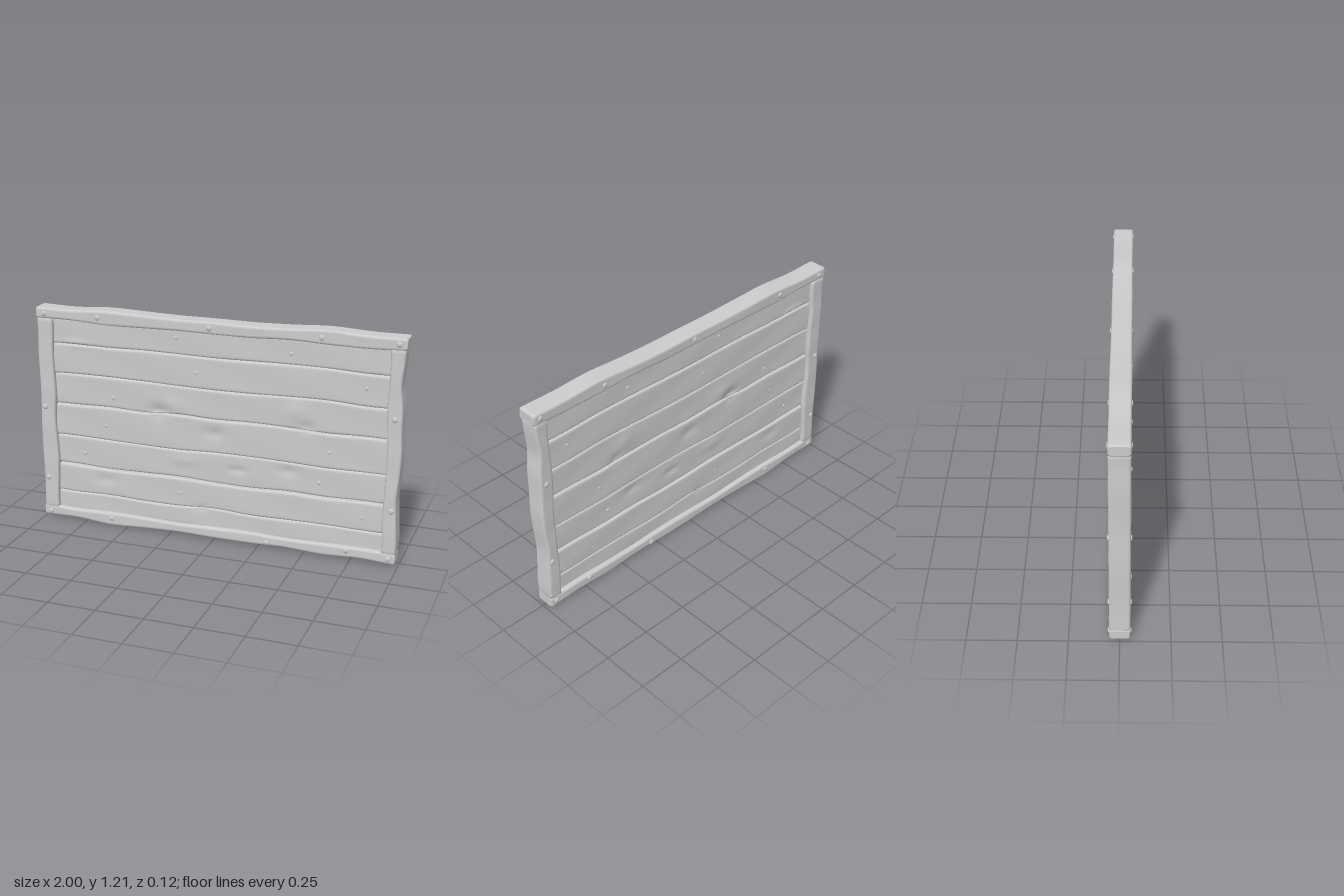
import * as THREE from 'three';

// Smooth curve through evenly spaced offsets (thousandths) around a base value
function wavy(base, offsets, from, to) {
  const curve = new THREE.SplineCurve(offsets.map((o, i) => new THREE.Vector2(i, o / 1000)));
  return t => base + curve.getPoint(THREE.MathUtils.clamp((t - from) / (to - from), 0, 1)).y;
}

// Hollows and swellings in the boards: x, y, radius x, radius y, height
const dents = [
  [-0.31, 0.69, 0.05, 0.035, -0.012], [-0.24, 0.73, 0.06, 0.04, 0.004],
  [0.44, 0.77, 0.05, 0.05, 0.006], [0.5, 0.69, 0.04, 0.03, -0.008],
  [0, 0.6, 0.05, 0.03, -0.008], [0.13, 0.41, 0.05, 0.02, -0.007],
  [-0.17, 0.43, 0.08, 0.03, 0.005], [-0.63, 0.26, 0.06, 0.03, -0.006],
  [0.4, 0.44, 0.05, 0.025, -0.006], [-0.78, 1.02, 0.08, 0.02, 0.005],
  [-0.07, 0.17, 0.03, 0.02, -0.006],
];
function relief(x, y) {
  let z = 0.0008 * Math.sin(9 * x + 31 * y);
  for (const [cx, cy, rx, ry, h] of dents) {
    z += h * Math.exp(-(((x - cx) / rx) ** 2) - ((y - cy) / ry) ** 2);
  }
  return z;
}

// Rounded timber running along x (or y when upright) between two wavy edges
function timber({ from, to, low, high, half, round, upright = false, steps = 100, faceSteps = 10 }) {
  const positions = [], index = [], rings = [];
  const end = 0.006;
  const spots = [from];
  for (let i = 0; i <= steps; i++) spots.push(from + end + (to - from - 2 * end) * i / steps);
  spots.push(to);

  const tri = (a, b, c) => upright ? index.push(a, c, b) : index.push(a, b, c);
  spots.forEach((t, i) => {
    const inset = i === 0 || i === spots.length - 1 ? end : 0;
    const lo = low(t) + inset, hi = high(t) - inset, w = hi - lo;
    const side = [0, 0.15, 0.5, 1].map(d => d * round);
    const across = [...side];
    for (let k = 1; k < faceSteps; k++) across.push(round + (w - 2 * round) * k / faceSteps);
    across.push(...side.map(d => w - d).reverse());
    const front = across.map(u => {
      const d = Math.min(u, w - u, round);
      const x = upright ? lo + u : t, y = upright ? t : lo + u;
      const z = half - inset - round + Math.sqrt(Math.max(0, round ** 2 - (round - d) ** 2));
      return [x, y, z + relief(x, y) * Math.min(1, d / round)];
    });
    rings.push([...front, ...front.map(([x, y, z]) => [x, y, -z]).reverse()]);
  });

  const n = rings[0].length;
  rings.forEach(ring => ring.forEach(p => positions.push(...p)));
  for (let i = 0; i < rings.length - 1; i++) {
    for (let j = 0; j < n; j++) {
      const a = i * n + j, d = i * n + (j + 1) % n;
      tri(a, a + n, d + n);
      tri(a, d + n, d);
    }
  }
  // End grain
  for (const [ring, last] of [[rings[0], false], [rings[rings.length - 1], true]]) {
    const c = positions.length / 3;
    const mid = ring.reduce((s, p) => [s[0] + p[0] / n, s[1] + p[1] / n, 0], [0, 0, 0]);
    positions.push(...mid);
    ring.forEach(p => positions.push(...p));
    for (let j = 0; j < n; j++) {
      const a = c + 1 + j, b = c + 1 + (j + 1) % n;
      if (last) tri(c, b, a); else tri(c, a, b);
    }
  }
  const geometry = new THREE.BufferGeometry();
  geometry.setAttribute('position', new THREE.Float32BufferAttribute(positions, 3));
  geometry.setIndex(index);
  geometry.computeVertexNormals();
  return geometry;
}

export function createModel() {
  const model = new THREE.Group();
  model.name = 'plankPanel';
  const wood = new THREE.MeshStandardMaterial({ color: 0xcccccc });
  wood.name = 'pale grey wood';
  const add = (name, geometry) => {
    const mesh = new THREE.Mesh(geometry, wood);
    mesh.name = name;
    model.add(mesh);
    return mesh;
  };

  // Rails across the top and bottom
  const rail = { from: -1, to: 0.995, half: 0.053, round: 0.012 };
  const alongX = (base, offsets) => wavy(base, offsets, -1, 1);
  add('topRail', timber({ ...rail,
    low: alongX(1.137, [5, 6, -4, -2, 1, -1, -1, 6, 0, -2, 3]),
    high: alongX(1.203, [0, -4, 7, 2, -3, -3, -5, 0, 9, 0, 0]) }));
  add('bottomRail', timber({ ...rail, to: 0.985,
    low: alongX(0.013, [2, 4, -11, -1, 5, 1, 1, 6, -3, 5, -4]),
    high: alongX(0.072, [4, -2, 3, 0, -4, 2, 3, -3, 1, 4, -2]) }));

  // Upright stiles between the rails
  const stile = { from: 0.062, to: 1.146, half: 0.052, round: 0.012, upright: true, steps: 60 };
  const alongY = (base, offsets) => wavy(base, offsets, 0, 1.2);
  add('rightStile', timber({ ...stile,
    low: alongY(-0.997, [-2, 1, 3, 0, -2, 0, 3, 1, -1, 2, -2]),
    high: alongY(-0.909, [0, -4, 2, 7, 1, -3, 4, 0, -3, 2, 0]) }));
  add('leftStile', timber({ ...stile,
    low: alongY(0.909, [0, 4, -2, 3, 6, 8, 2, -1, 4, 6, 0]),
    high: alongY(0.985, [-4, 2, -4, -9, 1, 7, 3, 2, -9, 1, 5]) }));

  // Seams between the boards, bottom to top: height, gap, waviness
  const seams = [
    [0.06, 0, [0, 0, 0]],
    [0.167, 0.001, [3, -2, 2, -4, -3, 8, -2, 1, 3, 0, 0]],
    [0.322, 0.007, [6, 5, -2, 2, 6, -1, -4, 4, 0, 5, 2]],
    [0.487, 0.001, [4, 6, 2, -2, -3, 5, 6, 2, -4, -2, 0]],
    [0.674, 0.004, [-4, -3, 2, -4, 6, 0, 5, 2, -5, 0, -3]],
    [0.84, 0.002, [-3, 4, 5, 2, -3, -6, -4, 2, 4, -6, -5]],
    [1.005, 0.001, [0, 3, 1, 5, 3, 0, 3, 6, 5, -3, -2]],
    [1.15, 0, [0, 0, 0]],
  ].map(([y, gap, offsets]) => ({ gap, edge: alongX(y, offsets) }));
  for (let i = 0; i < seams.length - 1; i++) {
    const below = seams[i], above = seams[i + 1];
    add('board' + (i + 1), timber({
      from: -0.93, to: 0.93, half: 0.028 + (i % 2) * 0.003, round: 0.011, faceSteps: 14,
      low: x => below.edge(x) + below.gap / 2,
      high: x => above.edge(x) - above.gap / 2,
    }));
  }

  // Nail heads on both faces: frame first, then smaller ones on the boards
  const nailHead = new THREE.SphereGeometry(1, 14, 10);
  const frameNails = [
    [-0.95, 1.17], [-0.64, 1.172], [-0.02, 1.168], [0.57, 1.172], [0.955, 1.172],
    [-0.96, 0.04], [-0.59, 0.045], [0.3, 0.035], [0.73, 0.055], [0.95, 0.04],
    [-0.968, 0.24], [-0.968, 0.65], [0.95, 0.79], [0.955, 0.305],
  ];
  const boardNails = [
    [-0.21, 1.095], [0.41, 1.07], [-0.57, 0.735], [-0.1, 0.92], [0.8, 0.93],
    [-0.62, 0.57], [0.62, 0.57], [0.57, 0.4], [-0.75, 0.4], [0.8, 0.24], [-0.2, 0.24],
  ];
  for (const [list, name, r, z] of [[frameNails, 'frameNail', 0.015, 0.052], [boardNails, 'boardNail', 0.01, 0.029]]) {
    for (const [x, y] of list) {
      for (const s of [1, -1]) {
        const nail = add(name, nailHead);
        nail.position.set(x, y, s * z);
        nail.scale.set(r, r, r * 0.5);
      }
    }
  }
  return model;
}
